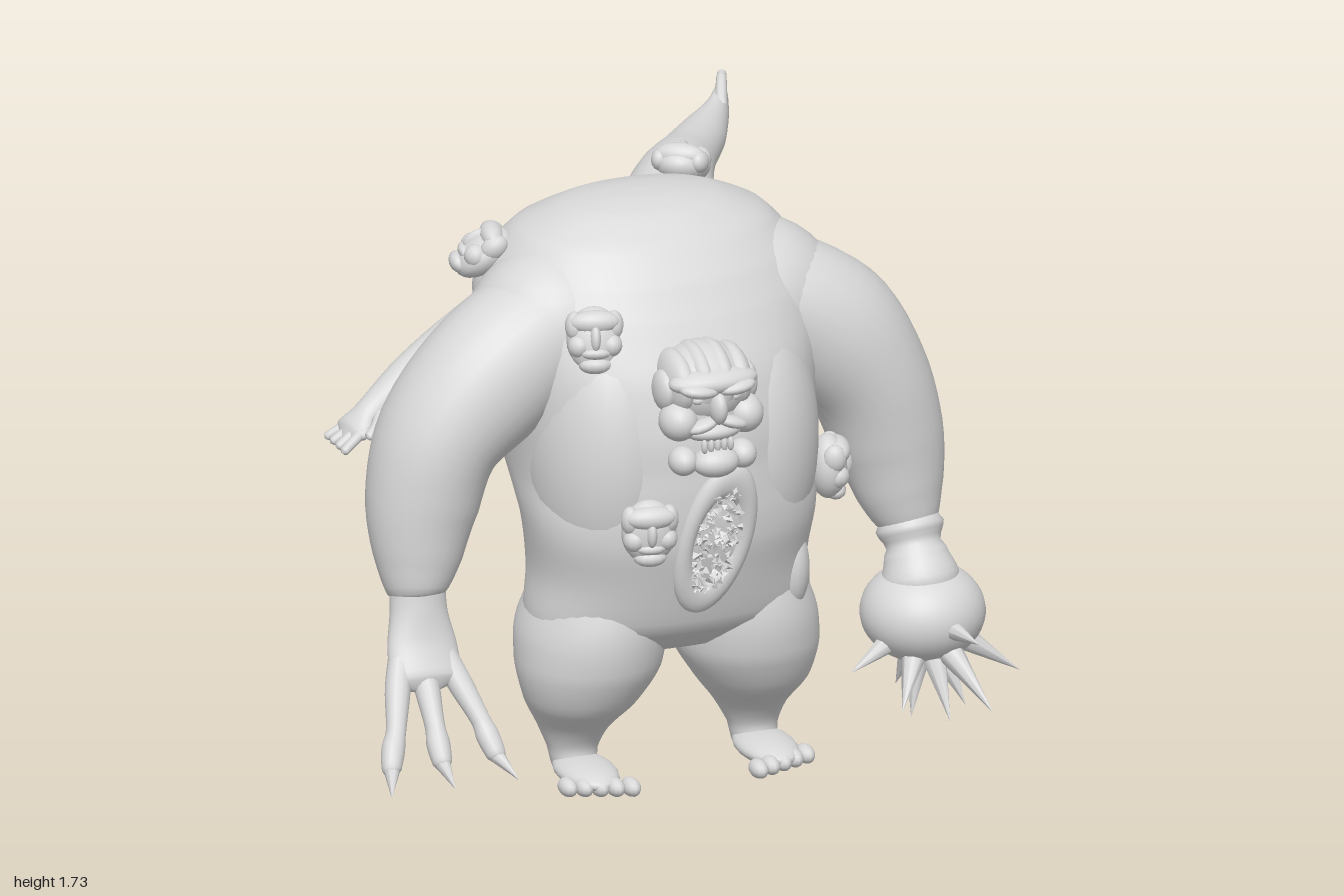
import * as THREE from 'three';

const skin = new THREE.MeshStandardMaterial({ color: 0xd8d8d8 });
skin.name = 'paleSkin';
const V = (x, y, z) => new THREE.Vector3(x, y, z);

function add(parent, name, geo) {
  const m = new THREE.Mesh(geo, skin);
  m.name = name;
  parent.add(m);
  return m;
}

// Squashed sphere
function blob(parent, name, [x, y, z], [a, b, c], seg = 20) {
  const m = add(parent, name, new THREE.SphereGeometry(1, seg, Math.ceil(seg * 0.7)));
  m.position.set(x, y, z);
  m.scale.set(a, b, c);
  return m;
}

// Smooth closed body through sections [x, y, z, half-width, half-depth along ref]
function loft(sections, { flat = false, ref = V(0, 0, 1), n = 28, steps = 5, square = 1 } = {}) {
  const path = new THREE.CatmullRomCurve3(sections.map(s => V(s[0], s[1], s[2])));
  const size = new THREE.CatmullRomCurve3(sections.map(s => V(s[3], s[4], 0)));
  const rows = (sections.length - 1) * steps;
  const up = Math.sign(sections.at(-1)[1] - sections[0][1]);
  const pos = [], idx = [];
  const pw = c => Math.sign(c) * Math.abs(c) ** square;
  for (let i = 0; i <= rows; i++) {
    const t = i / rows, p = path.getPoint(t), r = size.getPoint(t);
    const T = flat ? V(0, up, 0) : path.getTangent(t);
    const v = ref.clone().addScaledVector(T, -ref.dot(T)).normalize();
    const u = v.clone().cross(T);
    for (let j = 0; j < n; j++) {
      const a = j / n * Math.PI * 2;
      const q = p.clone().addScaledVector(u, pw(Math.cos(a)) * Math.max(r.x, 0.0005))
        .addScaledVector(v, pw(Math.sin(a)) * Math.max(r.y, 0.0005));
      pos.push(q.x, q.y, q.z);
      if (i < rows) {
        const k = i * n + j, l = i * n + (j + 1) % n;
        idx.push(k, l, k + n, l, l + n, k + n);
      }
    }
  }
  const g = new THREE.BufferGeometry();
  g.setAttribute('position', new THREE.Float32BufferAttribute(pos, 3));
  g.setIndex(idx);
  g.computeVertexNormals();
  return g;
}

// Pointed cone between two points
function spike(parent, name, from, to, r) {
  const d = to.clone().sub(from);
  const m = add(parent, name, new THREE.ConeGeometry(r, d.length(), 8));
  m.position.copy(from).addScaledVector(d, 0.5);
  m.quaternion.setFromUnitVectors(V(0, 1, 0), d.normalize());
}

// Small sunken-eyed face growing out of the skin
function smallFace(parent, p, dir) {
  const g = new THREE.Group();
  g.name = 'growthFace';
  g.position.set(...p);
  g.lookAt(V(...p).add(V(...dir)));
  blob(g, 'faceBase', [0, 0.005, -0.01], [0.08, 0.095, 0.055]);
  blob(g, 'faceBrow', [0, 0.055, 0.018], [0.074, 0.034, 0.036]);
  blob(g, 'faceNose', [0, 0.01, 0.035], [0.016, 0.04, 0.026], 12);
  blob(g, 'faceUpperLip', [0, -0.035, 0.024], [0.044, 0.018, 0.026], 12);
  blob(g, 'faceChin', [0, -0.068, 0.01], [0.048, 0.026, 0.032], 12);
  for (const s of [-1, 1]) {
    blob(g, 'faceCheek', [s * 0.046, -0.012, 0.01], [0.033, 0.034, 0.036], 12);
    blob(g, 'faceTemple', [s * 0.056, 0.045, 0.002], [0.028, 0.042, 0.034], 12);
  }
  parent.add(g);
}

// Small hand: four fingers and a thumb
function smallHand(parent, base, dir, spread, len) {
  const at = (d, k) => base.clone().addScaledVector(dir, d * len).addScaledVector(spread, k);
  const digit = pts => add(parent, 'smallFinger', loft(pts.map(([p, r]) => [p.x, p.y, p.z, r, r]),
    { ref: V(0.31, 0.52, 0.8), n: 10, steps: 3 }));
  for (const k of [-0.055, -0.019, 0.019, 0.055])
    digit([[at(-0.4, k * 0.7), 0.016], [at(0.4, k), 0.015], [at(0.9, k * 1.2), 0.013], [at(1, k * 1.25), 0]]);
  digit([[at(-1, 0.03), 0.018], [at(-0.5, 0.075), 0.016], [at(-0.1, 0.09), 0.014], [at(0, 0.09), 0]]);
}

export function createModel() {
  const root = new THREE.Group();
  root.name = 'creature';

  // Hunched torso
  add(root, 'torso', loft([
    [0, 0.36, 0.28, 0, 0], [0, 0.4, 0.28, 0.29, 0.16], [0, 0.49, 0.295, 0.42, 0.245], [0, 0.64, 0.3, 0.41, 0.29],
    [0, 0.8, 0.31, 0.43, 0.315], [0, 0.95, 0.22, 0.44, 0.41], [0, 1.1, 0.185, 0.46, 0.435],
    [0, 1.25, 0.155, 0.48, 0.425], [0, 1.4, 0.115, 0.49, 0.385], [0, 1.5, 0.1, 0.45, 0.335],
    [0, 1.59, 0.1, 0.37, 0.255], [0, 1.655, 0.105, 0.23, 0.15], [0, 1.675, 0.105, 0.11, 0.07], [0, 1.68, 0.105, 0, 0],
  ], { flat: true, n: 48, square: 0.9 }));

  for (const s of [-1, 1]) {
    const dx = s < 0 ? -0.045 : 0;
    // Heavy main arm, a little further out on the right
    add(root, 'mainArm', loft([
      [s * 0.15, 1.37, 0.17, 0.13, 0.17], [s * 0.34, 1.34, 0.21, 0.19, 0.2], [s * 0.51, 1.235, 0.24, 0.205, 0.2],
      [s * 0.63 + dx, 1.07, 0.25, 0.18, 0.19], [s * 0.69 + dx, 0.88, 0.265, 0.163, 0.165],
      [s * 0.715 + dx, 0.73, 0.295, 0.128, 0.125], [s * 0.73 + dx, 0.63, 0.325, 0.083, 0.083],
      [s * 0.73 + dx, 0.59, 0.34, 0, 0],
    ]));
    // Shoulder slope and broad front of the body
    blob(root, 'shoulder', [s * 0.29, 1.325, 0.19], [0.27, 0.25, 0.235], 32);
    blob(root, 'chest', [s * 0.205, 0.99, 0.33], [0.225, 0.43, 0.268], 32);
    // Leg, foot and toes
    add(root, 'leg', loft([
      [s * 0.21, 0.7, 0.3, 0, 0], [s * 0.215, 0.58, 0.295, 0.175, 0.215], [s * 0.23, 0.45, 0.29, 0.213, 0.243],
      [s * 0.24, 0.35, 0.3, 0.21, 0.22], [s * 0.26, 0.24, 0.295, 0.165, 0.17], [s * 0.27, 0.15, 0.26, 0.105, 0.12],
      [s * 0.275, 0.08, 0.265, 0.072, 0.08], [s * 0.275, 0.02, 0.28, 0.06, 0.08], [s * 0.275, 0.005, 0.28, 0, 0],
    ], { flat: true, n: 32 }));
    blob(root, 'foot', [s * 0.275, 0.037, 0.37], [0.085, 0.037, 0.15]);
    for (let i = 0; i < 5; i++)
      blob(root, 'toe', [s * (0.195 + i * 0.042), 0.028, 0.515 - i * 0.016], [0.026, 0.027, 0.045], 12);
  }
  blob(root, 'hipLump', [0.32, 0.6, 0.42], [0.06, 0.14, 0.09]);

  // Spiked club hand
  add(root, 'clubWrist', loft([
    [0.725, 0.7, 0.305, 0.07, 0.07], [0.73, 0.64, 0.325, 0.09, 0.09], [0.735, 0.56, 0.36, 0.09, 0.09],
    [0.74, 0.48, 0.39, 0.115, 0.115], [0.74, 0.42, 0.4, 0, 0],
  ]));
  blob(root, 'clubBall', [0.745, 0.39, 0.395], [0.18, 0.145, 0.18], 32);
  const ball = V(0.745, 0.38, 0.395);
  for (const [x, y, z] of [[0.8, 0.38, 0.69], [0.48, 0.27, 0.5], [1, 0.21, 0.5], [0.68, 0.1, 0.47], [0.84, 0.17, 0.7],
    [0.9, 0.31, 0.16], [0.72, 0.12, 0.25], [0.82, 0.14, 0.54], [0.6, 0.17, 0.6], [0.74, 0.13, 0.62]]) {
    const tip = V(x, y, z), start = ball.clone().lerp(tip, 0.36);
    spike(root, 'clubSpike', start, tip, 0.04);
  }

  // Clawed hand with three long fingers
  add(root, 'clawPalm', loft([
    [-0.77, 0.66, 0.32, 0.08, 0.07], [-0.775, 0.58, 0.34, 0.085, 0.065], [-0.78, 0.49, 0.38, 0.105, 0.05],
    [-0.785, 0.41, 0.43, 0.11, 0.045], [-0.785, 0.37, 0.46, 0, 0],
  ]));
  for (const [x0, x1, x2, x3] of [[-0.85, -0.92, -0.96, -1], [-0.785, -0.8, -0.805, -0.805], [-0.72, -0.66, -0.64, -0.61]]) {
    add(root, 'clawFinger', loft([
      [x0, 0.47, 0.39, 0.035, 0.035], [x0 * 0.6 + x1 * 0.4, 0.4, 0.44, 0.037, 0.037], [x1, 0.3, 0.53, 0.029, 0.029],
      [x1 * 0.5 + x2 * 0.5, 0.26, 0.56, 0.034, 0.034], [x2, 0.215, 0.6, 0.028, 0.028], [x2, 0.19, 0.62, 0, 0],
    ], { n: 14 }));
    spike(root, 'claw', V(x2, 0.215, 0.6), V(x3, 0.17, 0.7), 0.024);
  }

  // Three thin arms growing from the back
  const Y = V(0, 1, 0);
  add(root, 'upperBackArm', loft([
    [0.12, 1.5, -0.02, 0.16, 0.14], [0.23, 1.55, -0.22, 0.115, 0.11], [0.33, 1.555, -0.37, 0.085, 0.082],
    [0.43, 1.56, -0.5, 0.068, 0.07], [0.51, 1.575, -0.6, 0.038, 0.06], [0.55, 1.58, -0.66, 0.022, 0.075],
    [0.57, 1.58, -0.69, 0, 0],
  ], { ref: Y }));
  smallHand(root, V(0.553, 1.58, -0.665), V(0.38, 0, -0.92).normalize(), Y, 0.085);
  add(root, 'sideBackArm', loft([
    [-0.12, 1.3, -0.12, 0.12, 0.15], [-0.28, 1.25, -0.165, 0.095, 0.11], [-0.45, 1.19, -0.145, 0.08, 0.085],
    [-0.62, 1.1, -0.12, 0.068, 0.07], [-0.75, 1.02, -0.1, 0.047, 0.047], [-0.81, 0.985, -0.085, 0.068, 0.028],
    [-0.84, 0.97, -0.08, 0, 0],
  ], { ref: Y }));
  smallHand(root, V(-0.8, 0.99, -0.085), V(-0.85, -0.5, 0.1).normalize(), V(0, 0, 1), 0.08);
  add(root, 'hangingBackArm', loft([
    [-0.15, 1.1, -0.12, 0.08, 0.1], [-0.155, 0.93, -0.19, 0.07, 0.08], [-0.16, 0.78, -0.195, 0.06, 0.065],
    [-0.16, 0.66, -0.19, 0.045, 0.05], [-0.16, 0.58, -0.19, 0.025, 0.06], [-0.16, 0.54, -0.19, 0, 0],
  ]));
  smallHand(root, V(-0.16, 0.57, -0.19), V(0, -1, -0.05).normalize(), V(0, 0, 0.75), 0.09);

  // Faces scattered over the skin
  for (const [p, d] of [
    [[-0.28, 1.37, 0.45], [-0.3, 0.35, 1]], [[-0.18, 0.83, 0.62], [-0.2, 0, 1]], [[0.46, 0.87, 0.41], [1, 0, 0.25]],
    [[0.4, 1.19, -0.125], [1, 0, -0.6]], [[-0.46, 1.52, 0.02], [-0.7, 1, -0.2]], [[0.21, 1.655, -0.1], [0.2, 1, -0.3]],
    [[-0.12, 1.36, -0.27], [-0.15, 0, -1]], [[0.12, 0.98, -0.23], [0.2, -0.2, -1]], [[-0.36, 1.03, -0.08], [-1, -0.1, -0.7]],
  ]) smallFace(root, p, d);

  // Head sunk into the chest
  const head = new THREE.Group();
  head.name = 'head';
  blob(head, 'skull', [0, 1.25, 0.565], [0.135, 0.122, 0.14], 28);
  for (const x of [-0.085, -0.03, 0.03, 0.085])
    blob(head, 'crownRidge', [x, 1.265, 0.57], [0.048, 0.118 - Math.abs(x) * 0.3, 0.145 - Math.abs(x) * 0.25]);
  blob(head, 'brow', [0, 1.285, 0.655], [0.135, 0.04, 0.065]);
  blob(head, 'face', [0, 1.18, 0.62], [0.11, 0.09, 0.065]);
  blob(head, 'nose', [0, 1.215, 0.695], [0.026, 0.05, 0.042], 14);
  blob(head, 'mouthRim', [0, 1.135, 0.655], [0.085, 0.03, 0.05]);
  for (const s of [-1, 1]) {
    blob(head, 'browEnd', [s * 0.055, 1.272, 0.69], [0.06, 0.022, 0.042], 14).rotation.z = s * 0.12;
    blob(head, 'eye', [s * 0.055, 1.24, 0.68], [0.02, 0.014, 0.016], 12);
    blob(head, 'cheek', [s * 0.1, 1.17, 0.64], [0.056, 0.058, 0.065]);
    blob(head, 'ear', [s * 0.125, 1.25, 0.59], [0.03, 0.06, 0.06], 14);
    blob(head, 'lip', [s * 0.045, 1.165, 0.69], [0.048, 0.018, 0.032], 12).rotation.z = -s * 0.3;
    blob(head, 'jowl', [s * 0.09, 1.05, 0.65], [0.042, 0.042, 0.05]);
  }
  for (let i = -2; i <= 2; i++)
    blob(head, 'tooth', [i * 0.02, 1.1, 0.69], [0.01, 0.022, 0.012], 8);
  blob(head, 'chin', [0, 1.045, 0.675], [0.07, 0.045, 0.055]);
  root.add(head);

  // Open belly wound: low raised rim filled with ragged lumps
  const wound = new THREE.Group();
  wound.name = 'bellyWound';
  wound.position.set(0.025, 0.785, 0.607);
  wound.rotation.set(0.16, 0, -0.22);
  add(wound, 'woundRim', new THREE.TorusGeometry(1, 0.3, 14, 48)).scale.set(0.088, 0.185, 0.09);
  let seed = 7;
  const rnd = () => (seed = (seed * 16807) % 2147483647) / 2147483647;
  const lump = new THREE.TetrahedronGeometry(1, 0);
  for (let i = 0; i < 170; i++) {
    const a = rnd() * Math.PI * 2, r = Math.sqrt(rnd()), k = 0.008 + rnd() * 0.009;
    const m = add(wound, 'raggedFlesh', lump);
    m.position.set(Math.cos(a) * r * 0.064, Math.sin(a) * r * 0.18, 0.014 + rnd() * 0.014);
    m.rotation.set(rnd() * 6, rnd() * 6, rnd() * 6);
    m.scale.setScalar(k);
  }
  root.add(wound);
  return root;
}
